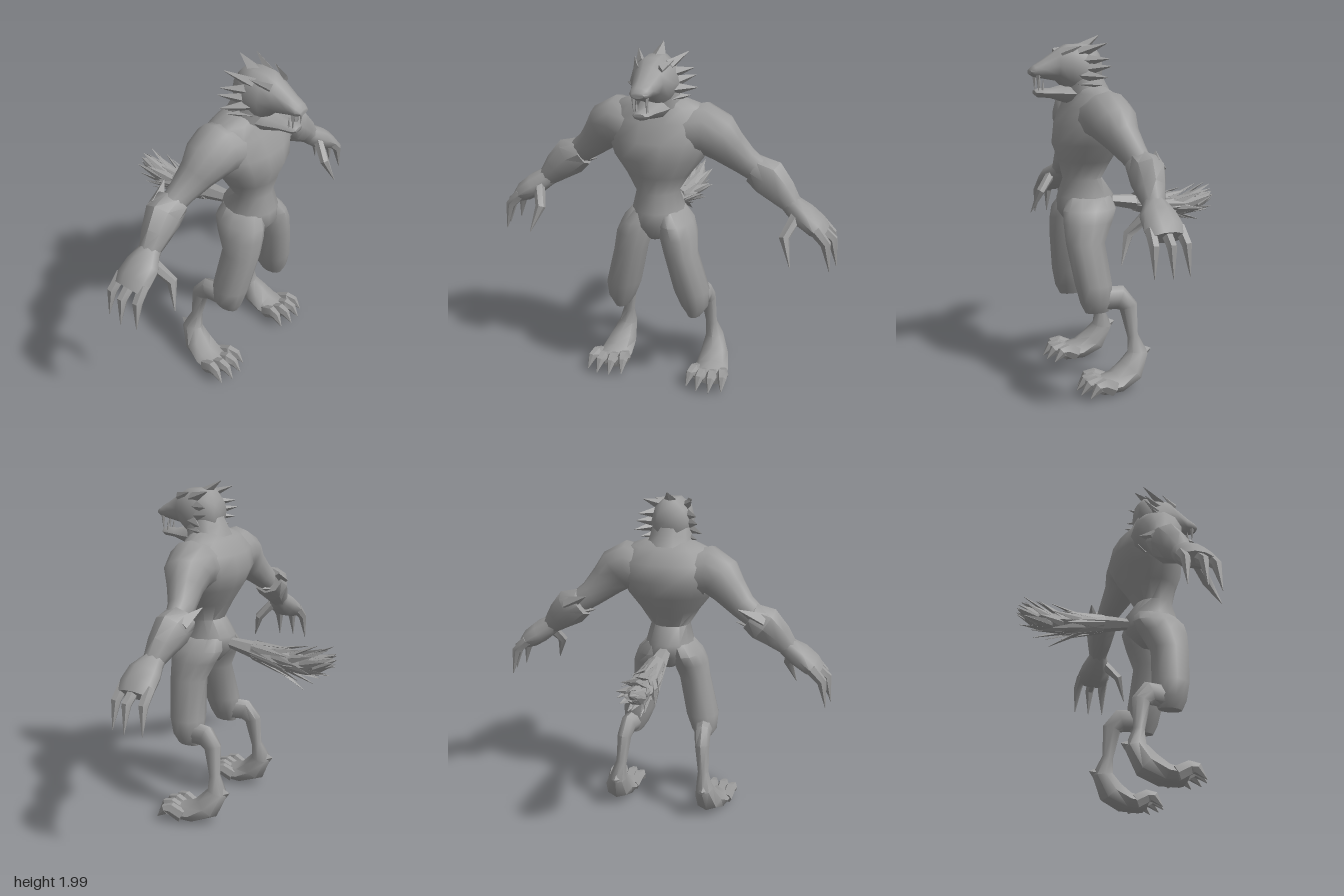
import * as THREE from 'three';
import { toCreasedNormals } from 'three/addons/utils/BufferGeometryUtils.js';

const V = (x, y, z) => new THREE.Vector3(x, y, z);
const X = V(1, 0, 0), Z = V(0, 0, 1);

// Skin elliptical sections [x, y, z, a, b]; a lies along ref, b across it.
function loft(secs, n, ref, { axis = null, crease = 1.0 } = {}) {
  const c = secs.map(s => V(s[0], s[1], s[2]));
  const pos = [], idx = [], last = c.length - 1;
  c.forEach((p, i) => {
    const t = axis ? axis.clone() : c[Math.min(i + 1, last)].clone().sub(c[Math.max(i - 1, 0)]).normalize();
    const u = ref.clone().addScaledVector(t, -ref.dot(t)).normalize();
    const v = t.clone().cross(u);
    for (let j = 0; j < n; j++) {
      const k = j / n * Math.PI * 2;
      const q = p.clone().addScaledVector(u, Math.cos(k) * secs[i][3]).addScaledVector(v, Math.sin(k) * secs[i][4]);
      pos.push(q.x, q.y, q.z);
    }
  });
  pos.push(...c[0].toArray(), ...c[last].toArray());
  const first = c.length * n;
  for (let j = 0; j < n; j++) {
    const k = (j + 1) % n;
    for (let i = 0; i < last; i++) {
      const a = i * n + j, b = i * n + k;
      idx.push(a, b, b + n, a, b + n, a + n);
    }
    idx.push(first, k, j, first + 1, last * n + j, last * n + k);
  }
  const g = new THREE.BufferGeometry();
  g.setAttribute('position', new THREE.Float32BufferAttribute(pos, 3));
  g.setIndex(idx);
  return toCreasedNormals(g, crease);
}

export function createModel() {
  const root = new THREE.Group();
  root.name = 'wolfCreature';
  const grey = new THREE.MeshStandardMaterial({ color: 0x9c9c9c });
  grey.name = 'grey';

  const add = (name, geo, parent = root) => {
    const m = new THREE.Mesh(geo, grey);
    m.name = name;
    parent.add(m);
  };
  // Pointed tuft, claw or tooth
  const spike = (name, from, to, a, b, ref, parent) =>
    add(name, loft([[...from, a, b], [...to, 0.002, 0.002]], 4, ref, { crease: 0.3 }), parent);

  // Torso: y, front z, back z, half width
  const torso = [
    [0.93, 0.36, 0.19, 0.05], [1.02, 0.42, 0.10, 0.15], [1.1, 0.42, 0.09, 0.145],
    [1.2, 0.385, 0.16, 0.12], [1.3, 0.405, 0.11, 0.18], [1.4, 0.44, 0.05, 0.255],
    [1.5, 0.425, 0.01, 0.3], [1.6, 0.375, 0.035, 0.31], [1.68, 0.34, 0.1, 0.24], [1.72, 0.32, 0.15, 0.13],
  ].map(([y, f, b, w]) => [0, y, (f + b) / 2, w, (f - b) / 2]);
  add('torso', loft(torso, 14, X, { axis: V(0, 1, 0) }));
  add('neck', loft([[0, 1.62, 0.22, 0.17, 0.13], [0, 1.72, 0.26, 0.13, 0.12], [0, 1.83, 0.29, 0.11, 0.1]], 10, X));

  // Head and jaws: z, top y, bottom y, half width
  const alongZ = rows => rows.map(([z, t, b, w]) => [0, (t + b) / 2, z, w, (t - b) / 2]);
  const head = new THREE.Group();
  head.name = 'head';
  root.add(head);
  add('skull', loft(alongZ([
    [0.17, 1.9, 1.74, 0.07], [0.21, 1.95, 1.69, 0.105], [0.28, 1.96, 1.66, 0.125], [0.36, 1.955, 1.69, 0.12],
    [0.42, 1.92, 1.745, 0.085], [0.5, 1.865, 1.76, 0.062], [0.55, 1.835, 1.77, 0.052], [0.575, 1.815, 1.785, 0.035],
  ]), 10, X, { axis: Z }), head);
  add('lowerJaw', loft(alongZ([
    [0.3, 1.75, 1.61, 0.1], [0.38, 1.73, 1.63, 0.08], [0.46, 1.71, 1.655, 0.055],
    [0.53, 1.71, 1.66, 0.045], [0.55, 1.7, 1.675, 0.03],
  ]), 8, X, { axis: Z }), head);
  spike('crest', [0, 1.92, 0.28], [0, 2.0, 0.165], 0.055, 0.035, X, head);

  // Tail: core wrapped in overlapping tufts
  const tail = new THREE.Group();
  tail.name = 'tail';
  root.add(tail);
  const curve = new THREE.CatmullRomCurve3([V(0, 1.06, 0.14), V(0, 1.03, -0.08), V(0, 0.995, -0.28), V(0, 1.0, -0.42), V(0, 1.05, -0.56)]);
  const girth = [0.035, 0.055, 0.07, 0.075, 0.065, 0.045, 0.004];
  add('tailCore', loft(girth.map((r, i) => [...curve.getPoint(i / 6).toArray(), r, r * 0.8]), 6, X, { crease: 0.3 }), tail);
  for (let row = 0; row < 5; row++) {
    const t = 0.22 + row * 0.145, p = curve.getPoint(t), q = curve.getPoint(Math.min(t + 0.3, 1));
    for (let j = 0; j < 7; j++) {
      const k = (j + (row % 2) / 2) / 7 * Math.PI * 2 + Math.PI / 2;
      const out = V(Math.cos(k), Math.sin(k), 0);
      const tip = q.clone().addScaledVector(out, [0.085, 0.11, 0.11, 0.085, 0.03][row]);
      const low = out.y < -0.7 && row === 1 ? 0.04 : 0;
      spike('tailTuft', p.clone().addScaledVector(out, 0.045).toArray(), [tip.x, tip.y - low, tip.z],
        0.036, 0.014, V(-out.y, out.x, 0), tail);
    }
  }

  for (const s of [1, -1]) {
    const side = s > 0 ? 'left' : 'right';
    const group = part => {
      const g = new THREE.Group();
      g.name = side + part;
      root.add(g);
      return g;
    };
    const m = rows => rows.map(([x, ...r]) => [x * s, ...r]);

    // Face: ears, cheek tufts, brow and fangs
    [
      ['ear', [0.075, 1.9, 0.31], [0.14, 1.955, 0.17], 0.035, 0.03],
      ['cheekTuft', [0.09, 1.86, 0.28], [0.17, 1.87, 0.17], 0.035, 0.025],
      ['cheekTuft', [0.09, 1.81, 0.29], [0.18, 1.83, 0.16], 0.04, 0.025],
      ['cheekTuft', [0.085, 1.78, 0.31], [0.2, 1.77, 0.19], 0.04, 0.03],
      ['cheekTuft', [0.08, 1.73, 0.31], [0.165, 1.73, 0.21], 0.035, 0.03],
      ['brow', [0.065, 1.9, 0.41], [0.11, 1.94, 0.31], 0.03, 0.015],
      ['upperFang', [0.037, 1.785, 0.535], [0.035, 1.7, 0.535], 0.011, 0.013],
      ['lowerFang', [0.03, 1.69, 0.51], [0.03, 1.755, 0.505], 0.009, 0.01],
    ].forEach(([name, a, b, u, v]) => spike(name, ...m([a, b]), u, v, name.endsWith('Fang') ? X : V(0, 1, 0), head));

    // Arm with a flared furry forearm
    const arm = group('Arm');
    add('upperArm', loft(m([
      [0.12, 1.53, 0.215, 0.15, 0.13], [0.25, 1.555, 0.21, 0.15, 0.145], [0.315, 1.52, 0.2, 0.135, 0.13],
      [0.375, 1.455, 0.18, 0.1, 0.105], [0.46, 1.375, 0.15, 0.075, 0.08], [0.55, 1.31, 0.135, 0.06, 0.07],
    ]), 12, Z), arm);
    add('forearm', loft(m([
      [0.51, 1.325, 0.125, 0.095, 0.085], [0.59, 1.285, 0.13, 0.1, 0.112],
      [0.67, 1.215, 0.145, 0.08, 0.087], [0.735, 1.15, 0.155, 0.058, 0.058],
    ]), 8, Z, { crease: 0.8 }), arm);
    spike('elbowTuft', ...m([[0.59, 1.32, 0.075], [0.455, 1.39, 0.02]]), 0.05, 0.05, Z, arm);
    spike('elbowTuft', ...m([[0.57, 1.26, 0.12], [0.43, 1.285, 0.12]]), 0.07, 0.04, Z, arm);
    add('hand', loft(m([
      [0.7, 1.175, 0.15, 0.055, 0.05], [0.74, 1.145, 0.155, 0.065, 0.06], [0.8, 1.105, 0.165, 0.1, 0.068],
      [0.87, 1.055, 0.165, 0.11, 0.062], [0.915, 1.02, 0.165, 0.095, 0.04],
    ]), 10, Z), arm);
    const finger = (name, a, b, c) =>
      add(name, loft(m([[...a, 0.032, 0.035], [...b, 0.028, 0.03], [...c, 0.002, 0.002]]), 6, Z, { crease: 0.6 }), arm);
    [[0.085, 0.07, 0.975], [0.165, 0.17, 0.995], [0.24, 0.26, 0.97]].forEach(([z0, z1, x]) =>
      finger('clawedFinger', [0.875, 1.055, z0], [x - 0.03, 0.985, (z0 + z1) / 2], [x, 0.83, z1]));
    finger('clawedThumb', [0.765, 1.11, 0.21], [0.722, 1.01, 0.295], [0.77, 0.865, 0.35]);

    // Leg: thigh, backward-bent shank and long foot
    const leg = group('Leg');
    add('thigh', loft(m([
      [0.07, 1.1, 0.255, 0.07, 0.13], [0.105, 1.03, 0.265, 0.095, 0.16], [0.125, 0.96, 0.285, 0.105, 0.145],
      [0.148, 0.85, 0.31, 0.095, 0.115], [0.205, 0.62, 0.285, 0.102, 0.108],
      [0.222, 0.52, 0.275, 0.078, 0.095], [0.222, 0.46, 0.27, 0.04, 0.07],
    ]), 12, X, { axis: V(0, -1, 0), crease: 0.9 }), leg);
    add('shank', loft(m([
      [0.222, 0.535, 0.25, 0.06, 0.07], [0.24, 0.535, 0.14, 0.05, 0.07], [0.25, 0.48, 0.09, 0.045, 0.055],
      [0.265, 0.31, 0.07, 0.034, 0.033], [0.28, 0.21, 0.045, 0.055, 0.065], [0.295, 0.115, 0.1, 0.085, 0.08],
      [0.305, 0.065, 0.19, 0.1, 0.06], [0.31, 0.055, 0.3, 0.1, 0.045],
    ]), 8, X, { crease: 0.9 }), leg);
    spike('heel', ...m([[0.28, 0.2, 0.04], [0.28, 0.222, -0.037]]), 0.05, 0.07, X, leg);
    [-0.085, -0.03, 0.03, 0.085].forEach((d, i) => {
      const z = i % 3 ? 0.03 : 0;
      add('clawedToe', loft(m([
        [0.31 + d * 0.9, 0.055, 0.23 + z, 0.032, 0.045], [0.31 + d, 0.09, 0.3 + z, 0.034, 0.042],
        [0.31 + d * 1.15, 0.085, 0.335 + z, 0.026, 0.034], [0.31 + d * 1.25, 0.03, 0.385 + z, 0.002, 0.002],
      ]), 6, X, { crease: 0.4 }), leg);
    });
  }
  return root;
}
